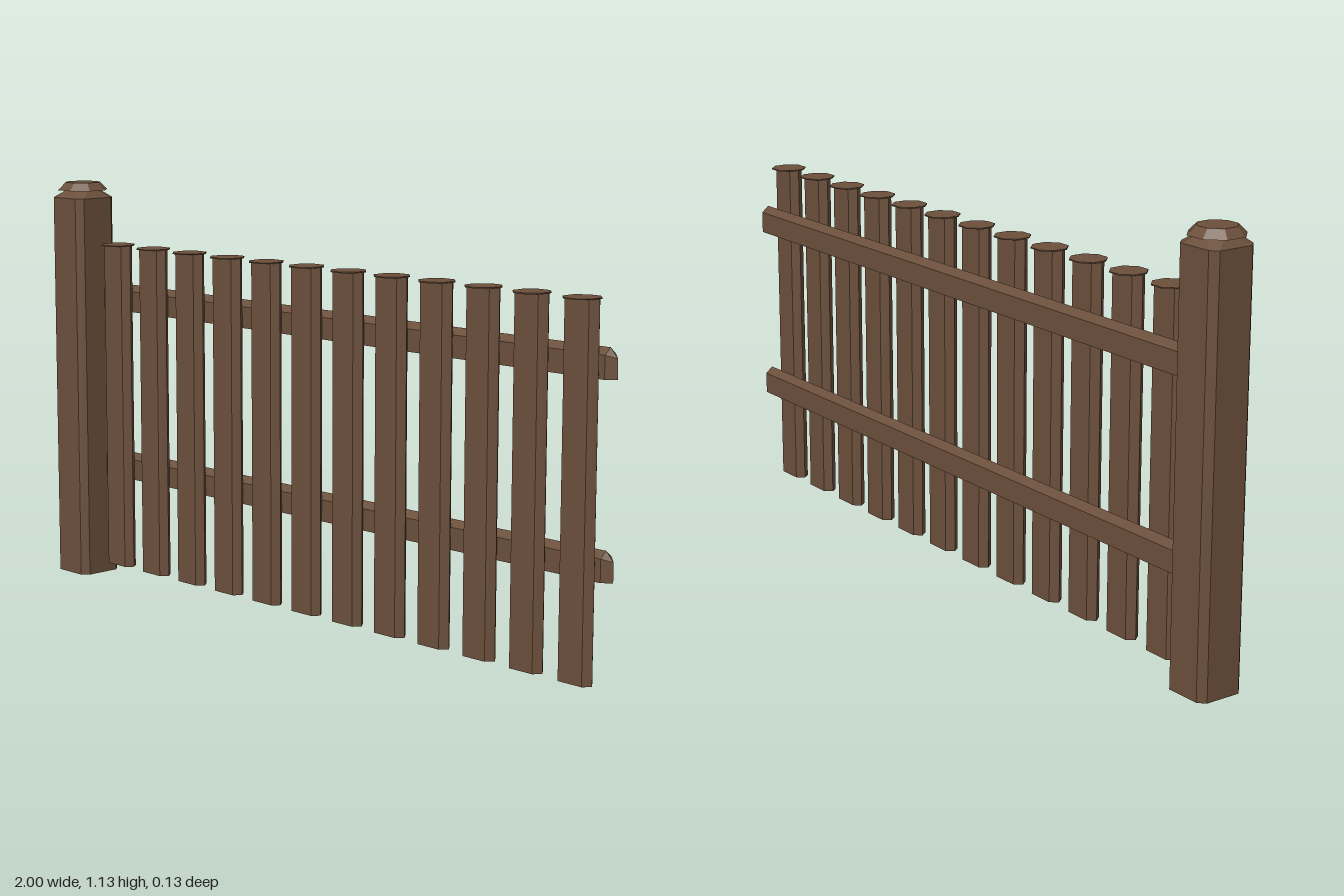
import * as THREE from 'three';

const wood = new THREE.MeshStandardMaterial({ color: 0x6b4f3b, side: THREE.DoubleSide });
wood.name = 'brown wood';

// Skin a list of equal-length rings [x, y, z]; rings run anticlockwise seen from the last one
function loft(rings, closeStart, closeEnd) {
  const n = rings[0].length, pos = [];
  const tri = (a, b, c) => pos.push(...a, ...b, ...c);
  for (let i = 0; i < rings.length - 1; i++) {
    const p = rings[i], q = rings[i + 1];
    for (let j = 0; j < n; j++) {
      const k = (j + 1) % n;
      tri(p[j], p[k], q[k]);
      tri(p[j], q[k], q[j]);
    }
  }
  const first = rings[0], last = rings[rings.length - 1];
  for (let j = 1; j < n - 1; j++) {
    if (closeStart) tri(first[0], first[j + 1], first[j]);
    if (closeEnd) tri(last[0], last[j], last[j + 1]);
  }
  const g = new THREE.BufferGeometry();
  g.setAttribute('position', new THREE.Float32BufferAttribute(pos, 3));
  g.computeVertexNormals();
  return g;
}

// Square ring with cut corners: half width h, half length f of the straight sides
const cutSquare = (h, f, y) =>
  [[h, f], [h, -f], [f, -h], [-f, -h], [-h, -f], [-h, f], [-f, h], [f, h]].map(([x, z]) => [x, y, z]);
const octagon = (h, y) => cutSquare(h, h * Math.tan(Math.PI / 8), y);

export function createModel() {
  const fence = new THREE.Group();
  fence.name = 'fence';
  const add = (parent, name, geometry, x = 0, y = 0) => {
    const mesh = new THREE.Mesh(geometry, wood);
    mesh.name = name;
    mesh.position.set(x, y, 0);
    parent.add(mesh);
  };

  // End post with sloped shoulder and overhanging cap, open underneath
  const post = new THREE.Group();
  post.name = 'endPost';
  post.position.x = -0.933;
  add(post, 'postBody', loft([cutSquare(0.067, 0.049, 0), cutSquare(0.067, 0.049, 1.092), octagon(0.045, 1.113)], false, true));
  add(post, 'postCap', loft([octagon(0.067, 1.113), octagon(0.047, 1.135)], true, true));
  fence.add(post);

  // Pickets: six-sided planks with a thin octagonal plate on top
  const plank = y => [[0.053, 0], [0.037, -0.02], [-0.037, -0.02], [-0.053, 0], [-0.037, 0.02], [0.037, 0.02]]
    .map(([x, z]) => [x, y, z]);
  const plankGeo = loft([plank(0.04), plank(0.965)], false, true);
  const plateGeo = loft([octagon(0.045, 0.964), octagon(0.045, 0.967)], true, true);
  for (let i = 0; i < 12; i++) {
    const picket = new THREE.Group();
    picket.name = 'picket' + (i + 1);
    picket.position.x = -0.777 + i * 0.1545;
    add(picket, 'picketPlank', plankGeo);
    add(picket, 'picketTop', plateGeo);
    fence.add(picket);
  }

  // Rails: ridged on top, pointed at the free end
  const profile = [[0, -0.06], [0.058, -0.06], [0.075, -0.04], [0.058, -0.02], [0, -0.02], [0, -0.04]];
  const section = x => profile.map(([y, z]) => [x, y, z]);
  const tip = profile.map(([y]) => [1, y > 0 ? 0.05 : 0, -0.04]);
  const railGeo = loft([section(-0.9), section(0.977), tip], true, false);
  add(fence, 'lowerRail', railGeo, 0, 0.29);
  add(fence, 'upperRail', railGeo, 0, 0.775);

  return fence;
}
